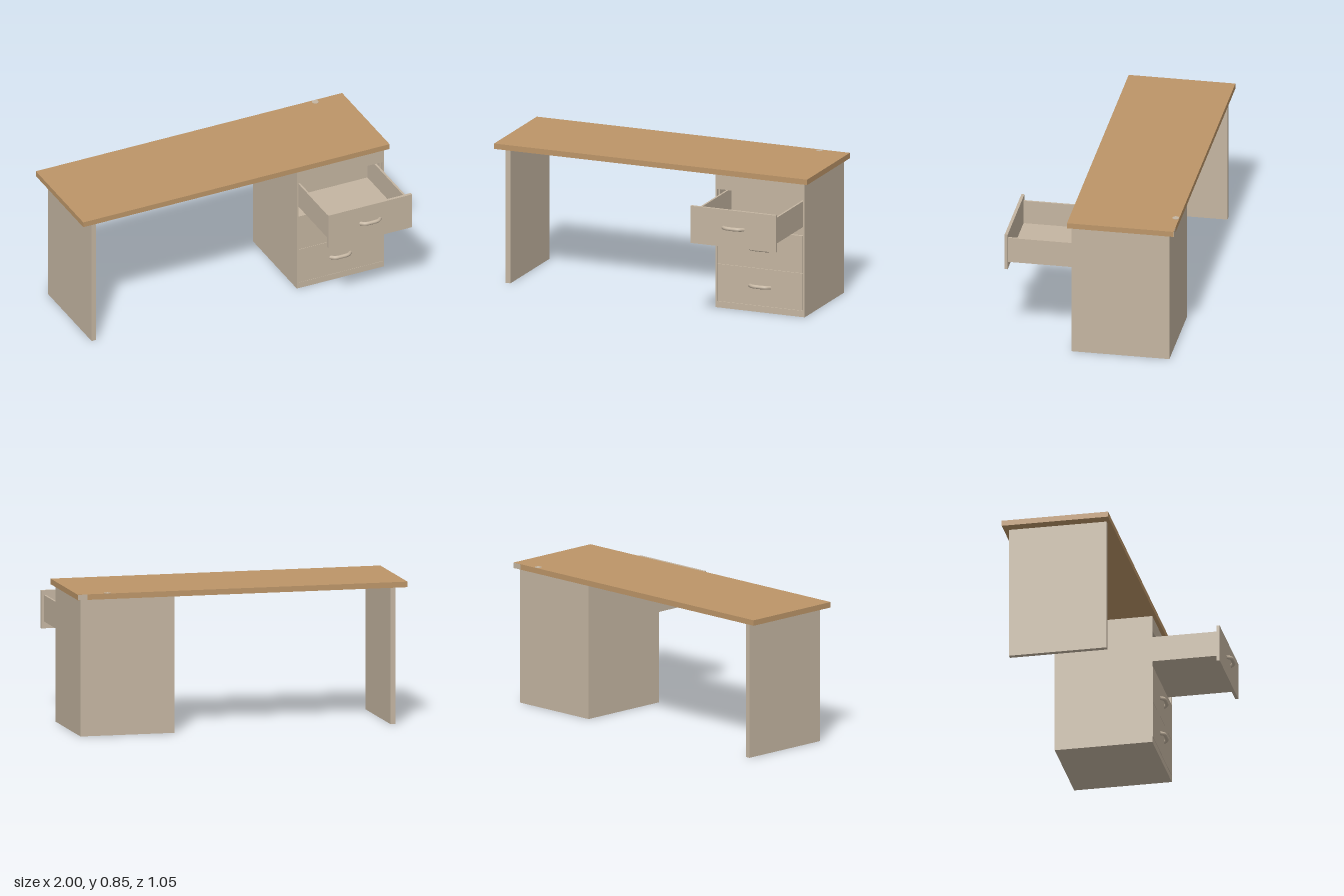
import * as THREE from 'three';

const panelMat = new THREE.MeshStandardMaterial({ color: 0xc4b5a1 });
panelMat.name = 'taupe panel';
const woodMat = new THREE.MeshStandardMaterial({ color: 0xbc9568 });
woodMat.name = 'warm wood';

// Box given by its minimum and maximum on each axis
function box(parent, name, [x0, x1], [y0, y1], [z0, z1], mat = panelMat) {
  const mesh = new THREE.Mesh(new THREE.BoxGeometry(x1 - x0, y1 - y0, z1 - z0), mat);
  mesh.position.set((x0 + x1) / 2, (y0 + y1) / 2, (z0 + z1) / 2);
  mesh.name = name;
  parent.add(mesh);
  return mesh;
}

// Bowed pull handle, its ends on z = 0
function makeHandle() {
  const path = new THREE.CatmullRomCurve3([
    [-0.066, -0.003, -0.004], [-0.042, 0, 0.019], [0, 0, 0.023], [0.042, 0, 0.019], [0.066, -0.003, -0.004],
  ].map((p) => new THREE.Vector3(...p)));
  const geo = new THREE.TubeGeometry(path, 20, 0.0115, 10);
  const handle = new THREE.Mesh(geo, panelMat);
  handle.name = 'handle';
  return handle;
}

// Open drawer box with an overlapping front; slide moves it forwards
function makeDrawer(name, y, slide) {
  const drawer = new THREE.Group();
  drawer.name = name;
  const x0 = 0.435, x1 = 0.945, t = 0.012;
  const low = y + 0.04, high = y + 0.197, back = -0.46, front = 0.073;
  box(drawer, 'drawerFront', [0.417, 0.963], [y, y + 0.226], [front, 0.091]);
  box(drawer, 'drawerFloor', [x0 + t, x1 - t], [low, low + t], [back + t, front]);
  box(drawer, 'drawerBack', [x0 + t, x1 - t], [low, high], [back, back + t]);
  box(drawer, 'drawerSideRight', [x0, x0 + t], [low, high], [back, front]);
  box(drawer, 'drawerSideLeft', [x1 - t, x1], [low, high], [back, front]);
  const handle = makeHandle();
  handle.position.set(0.69, y + 0.119, 0.091);
  drawer.add(handle);
  drawer.position.z = slide;
  return drawer;
}

function makeCabinet() {
  const cabinet = new THREE.Group();
  cabinet.name = 'drawerCabinet';
  const X = [0.405, 0.975], Y = [0, 0.815];
  box(cabinet, 'sideRight', [0.405, 0.425], Y, [-0.475, 0.07]);
  box(cabinet, 'sideLeft', [0.955, 0.975], Y, [-0.475, 0.07]);
  box(cabinet, 'backPanel', X, Y, [-0.495, -0.475]);
  box(cabinet, 'bottomPanel', [0.425, 0.955], [0, 0.02], [-0.475, 0.07]);
  box(cabinet, 'topPanel', [0.425, 0.955], [0.795, 0.815], [-0.475, 0.07]);

  // Face frame with one opening for the drawers
  const rect = (C, a, b, c, d) => new C().moveTo(a, c).lineTo(b, c).lineTo(b, d).lineTo(a, d).closePath();
  const shape = rect(THREE.Shape, 0.405, 0.975, 0, 0.815);
  shape.holes.push(rect(THREE.Path, 0.415, 0.965, 0.038, 0.722));
  const frame = new THREE.Mesh(new THREE.ExtrudeGeometry(shape, { depth: 0.02, bevelEnabled: false }), panelMat);
  frame.position.z = 0.07;
  frame.name = 'faceFrame';
  cabinet.add(frame);

  // Two closed drawers and the top one pulled out
  cabinet.add(makeDrawer('lowerDrawer', 0.04, 0));
  cabinet.add(makeDrawer('middleDrawer', 0.268, 0));
  cabinet.add(makeDrawer('upperDrawer', 0.496, 0.4));
  return cabinet;
}

export function createModel() {
  const desk = new THREE.Group();
  desk.name = 'desk';
  box(desk, 'desktop', [-1, 1], [0.815, 0.848], [-0.525, 0.112], woodMat);
  box(desk, 'legPanel', [-0.935, -0.905], [0, 0.815], [-0.495, 0.09]);
  desk.add(makeCabinet());

  // Small cable cap on the top and a plate on the rear edge
  const cap = new THREE.Mesh(new THREE.CylinderGeometry(0.02, 0.02, 0.002, 16), panelMat);
  cap.position.set(0.815, 0.8485, -0.504);
  cap.name = 'cableCap';
  desk.add(cap);
  box(desk, 'rearEdgePlate', [0.94, 1], [0.816, 0.847], [-0.526, -0.524]);
  return desk;
}
